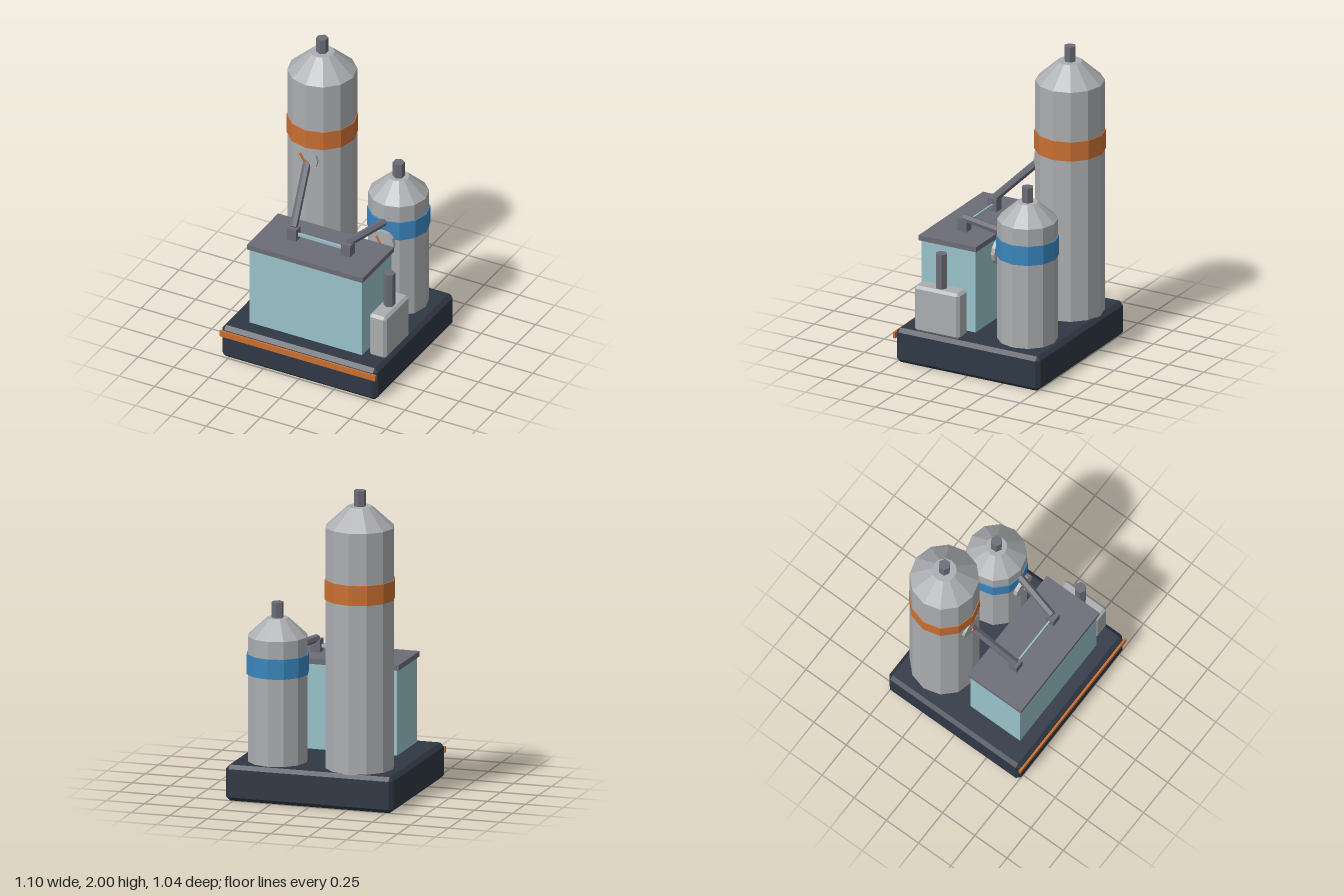
import * as THREE from 'three';
import { ConvexGeometry } from 'three/addons/geometries/ConvexGeometry.js';

const mat = (name, color) => {
  const m = new THREE.MeshStandardMaterial({ color, flatShading: true });
  m.name = name;
  return m;
};

export function createModel() {
  const model = new THREE.Group();
  model.name = 'processingPlant';
  const navy = mat('dark navy', 0x2f3845);
  const grey = mat('light grey', 0xabadb0);
  const metal = mat('dark metal', 0x6c6c77);
  const orange = mat('orange', 0xc96f32);
  const blue = mat('blue', 0x3a85bd);
  const teal = mat('pale teal', 0x99c2ca);

  const add = (name, geometry, material, x = 0, y = 0, z = 0, parent = model) => {
    const mesh = new THREE.Mesh(geometry, material);
    mesh.name = name;
    mesh.position.set(x, y, z);
    parent.add(mesh);
    return mesh;
  };
  const box = (w, h, d) => new THREE.BoxGeometry(w, h, d);

  // Box with every edge and corner cut by c
  const chamferBox = (w, h, d, c) => {
    const points = [];
    for (const sx of [-1, 1]) for (const sy of [-1, 1]) for (const sz of [-1, 1])
      for (let axis = 0; axis < 3; axis++) {
        const inset = [c, c, c];
        inset[axis] = 0;
        points.push(new THREE.Vector3(
          sx * (w / 2 - inset[0]), sy * (h / 2 - inset[1]), sz * (d / 2 - inset[2])));
      }
    return new ConvexGeometry(points);
  };

  // Six-sided rod between two points
  const rod = (name, a, b, r) => {
    const from = new THREE.Vector3(...a), to = new THREE.Vector3(...b);
    const dir = to.clone().sub(from);
    const mid = from.clone().add(to).multiplyScalar(0.5);
    const mesh = add(name, new THREE.CylinderGeometry(r, r, dir.length(), 6), metal, mid.x, mid.y, mid.z);
    mesh.quaternion.setFromUnitVectors(new THREE.Vector3(0, 1, 0), dir.normalize());
  };

  // Base with front stripe
  add('base', chamferBox(1.1, 0.23, 1.025, 0.025), navy, 0, 0.115, -0.007);
  add('baseStripe', box(1.1, 0.04, 0.016), orange, 0, 0.18, 0.511);

  // Tanks: body, cone shoulder, nozzle, coloured band, gauge
  const tank = (name, t) => {
    const g = new THREE.Group();
    g.name = name;
    g.position.set(t.x, 0, -0.29);
    model.add(g);
    const tube = (part, r0, r1, y0, y1, sides, material) =>
      add(part, new THREE.CylinderGeometry(r1, r0, y1 - y0, sides), material, 0, (y0 + y1) / 2, 0, g);
    tube('body', t.r, t.r, 0.225, t.shoulder, 12, grey);
    tube('shoulder', t.r, t.topR, t.shoulder, t.top, 12, grey);
    tube('nozzle', 0.038, 0.038, t.top, t.top + 0.1, 6, metal);
    tube('band', t.bandR, t.bandR, t.band, t.band + 0.127, 12, t.color);
    const dial = add('gauge', new THREE.CylinderGeometry(0.081, 0.081, 0.025, 12), grey, 0, t.gauge, 0.2035, g);
    dial.rotation.x = Math.PI / 2;
    const hand = add('gaugeHand', box(0.014, 0.07, 0.006), orange, -0.012, t.gauge + 0.022, 0.24, g);
    hand.rotation.z = 0.52;
  };
  tank('tallTank', { x: -0.26, r: 0.218, topR: 0.077, shoulder: 1.77, top: 1.9,
    band: 1.31, bandR: 0.223, color: orange, gauge: 1.222 });
  tank('shortTank', { x: 0.28, r: 0.19, topR: 0.067, shoulder: 1.03, top: 1.145,
    band: 0.79, bandR: 0.197, color: blue, gauge: 0.772 });

  // Glass chamber with lid
  add('chamber', box(0.795, 0.55, 0.385), teal, -0.003, 0.517, 0.21);
  add('chamberLid', box(0.818, 0.034, 0.41), metal, -0.003, 0.804, 0.212);

  // Pipe mounts on the lid and the glass rod joining them
  for (const s of [-1, 1]) add('pipeMount', box(0.063, 0.085, 0.063), metal, s * 0.192, 0.86, 0.21);
  add('glassRod', box(0.34, 0.022, 0.01), teal, 0, 0.858, 0.21);

  // Pipes from the mounts to the tanks
  rod('tallTankPipe', [-0.193, 0.9, 0.21], [-0.257, 1.2, -0.09], 0.026);
  rod('shortTankPipe', [0.192, 0.904, 0.21], [0.28, 0.904, -0.12], 0.026);

  // Pump at the side
  add('pump', chamferBox(0.12, 0.305, 0.32, 0.017), grey, 0.485, 0.387, 0.214);
  add('pumpPost', new THREE.CylinderGeometry(0.038, 0.038, 0.24, 6), metal, 0.484, 0.65, 0.21);

  return model;
}
